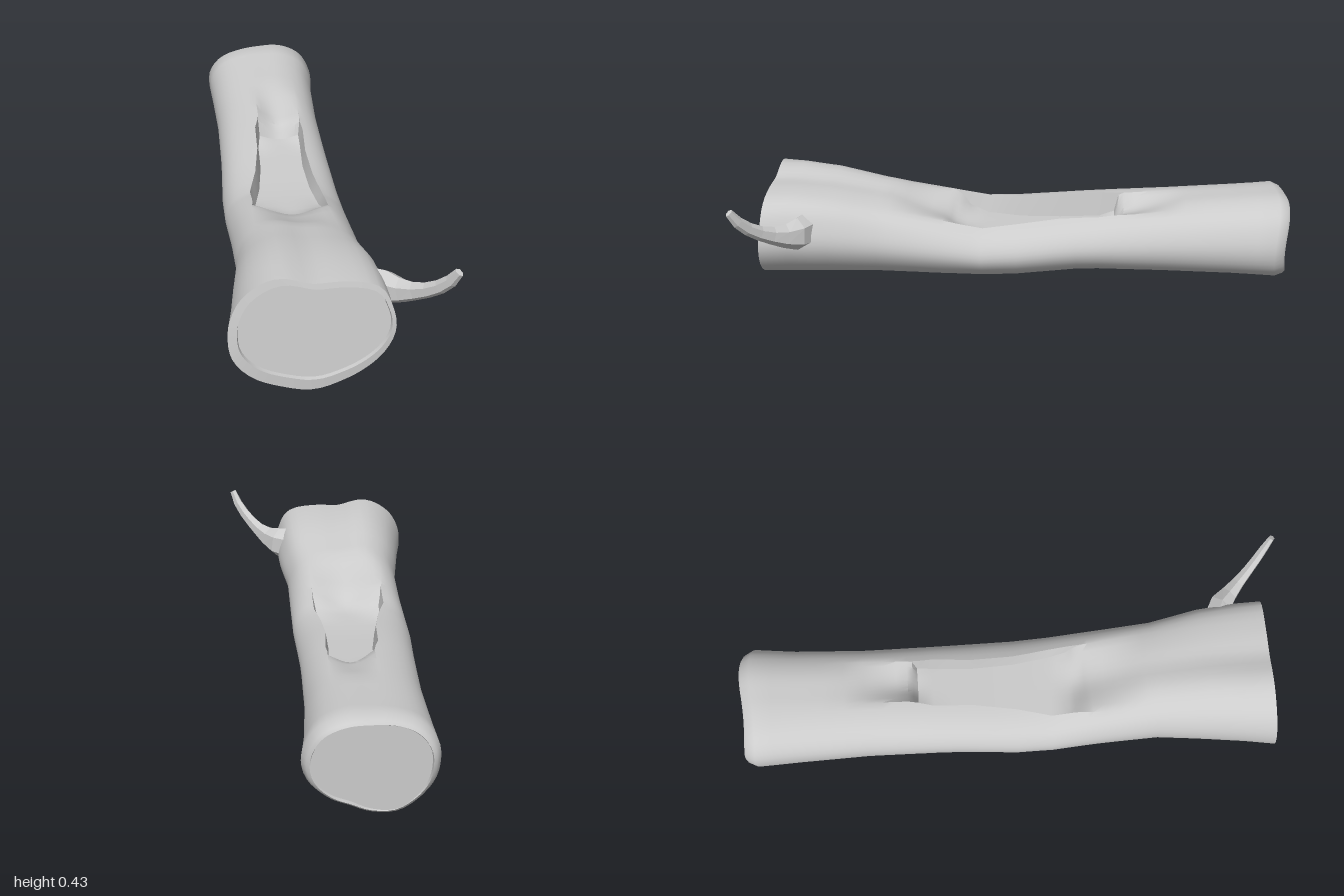
import * as THREE from 'three';
import { toCreasedNormals } from 'three/addons/utils/BufferGeometryUtils.js';

// Piecewise-linear lookup in rows [z, v1, v2, ...] sorted by falling z
function lookup(rows, z) {
  if (z >= rows[0][0]) return rows[0].slice(1);
  for (let i = 1; i < rows.length; i++) {
    const a = rows[i - 1], b = rows[i];
    if (z >= b[0]) {
      const t = (a[0] - z) / (a[0] - b[0]);
      return a.slice(1).map((v, k) => v + (b[k + 1] - v) * t);
    }
  }
  return rows[rows.length - 1].slice(1);
}

// Surface through closed rings of points
function loft(rings, crease) {
  const n = rings[0].length, index = [];
  for (let i = 0; i < rings.length - 1; i++) {
    for (let j = 0; j < n; j++) {
      const k = (j + 1) % n;
      const a = i * n + j, b = i * n + k, c = a + n, d = b + n;
      index.push(a, c, d, a, d, b);
    }
  }
  const g = new THREE.BufferGeometry();
  g.setFromPoints(rings.flat());
  g.setIndex(index);
  return toCreasedNormals(g, crease);
}

// Trunk extents along its length: z, left x, right x, bottom y, top y
const EXTENT = [
  [0.95, -0.367, 0.167, 0.0, 0.4], [0.84, -0.35, 0.165, 0.008, 0.4], [0.7, -0.333, 0.155, 0.014, 0.388],
  [0.52, -0.31, 0.125, 0.016, 0.352], [0.3, -0.315, 0.118, 0.016, 0.312], [0.13, -0.325, 0.112, 0.018, 0.28],
  [0, -0.327, 0.104, 0.022, 0.286], [-0.25, -0.316, 0.092, 0.048, 0.316], [-0.55, -0.312, 0.088, 0.04, 0.345],
  [-0.8, -0.32, 0.096, 0.033, 0.37], [-0.95, -0.327, 0.11, 0.028, 0.387],
];
// Hollow outline: z, left x, right x, how far it is sunk to the floor
const HOLLOW = [
  [0.48, -0.23, 0.04, 0], [0.28, -0.225, 0.035, 0.5], [0.24, -0.22, 0.035, 0.8], [0.2, -0.22, 0.035, 0.95],
  [0.13, -0.222, 0.033, 1], [0, -0.197, 0.012, 1], [-0.15, -0.18, 0, 1], [-0.3, -0.177, 0.005, 1],
  [-0.355, -0.165, 0, 0.97], [-0.39, -0.16, 0, 0.5], [-0.62, -0.16, 0, 0],
];
// Lobed radii every 22.5 degrees at three stations
const FRONT = [1, 1.04, 1.11, 0.97, 0.89, 1.09, 1.09, 1.03, 1, 1.02, 1.01, 0.975, 0.99, 0.93, 0.92, 0.95];
const MIDDLE = [1, 1.0, 0.99, 0.97, 0.97, 1.08, 1.1, 1.04, 1, 0.99, 0.98, 0.98, 0.98, 0.94, 0.94, 0.96];
const BACK = [1, 1.02, 1.06, 1.03, 0.97, 1.0, 1.06, 1.05, 1, 1, 1.03, 1.07, 0.96, 0.85, 0.9, 0.97];

function lobe(table, a) {
  const f = ((a / (Math.PI * 2)) * 16 + 32) % 16, i = Math.floor(f), t = f - i;
  const [p, q, r, s] = [-1, 0, 1, 2].map((k) => table[(i + k + 16) % 16]);
  return q + 0.5 * t * (r - p + t * (2 * p - 5 * q + 4 * r - s + t * (3 * (q - r) + s - p)));
}

// One cross-section; scale shrinks it for the end faces, shift gives the end its uneven cut
function section(z, scale = 1, shift = () => 0) {
  const [xl, xr, yb, yt] = lookup(EXTENT, z);
  const [hl, hr, sunk] = lookup(HOLLOW, z);
  const cx = (xl + xr) / 2, rx = (xr - xl) / 2, cy = (yb + yt) / 2, ry = (yt - yb) / 2;
  const end = z > 0.1 ? FRONT : BACK;
  const mix = Math.min(1, z > 0.1 ? (z - 0.1) / 0.8 : (0.1 - z) / 1);
  const point = (a) => {
    const r = scale * THREE.MathUtils.lerp(lobe(MIDDLE, a), lobe(end, a), mix);
    return new THREE.Vector3(cx + rx * r * Math.cos(a), cy + ry * r * Math.sin(a), z + shift(a, r));
  };
  const aL = Math.acos((hl - cx) / rx), aR = Math.acos((hr - cx) / rx) + Math.PI * 2;
  const ring = [];
  for (let i = 0; i <= 44; i++) ring.push(point(aL + ((aR - aL) * i) / 44));
  // Floor of the hollow: flat with steep walls in the middle, a rounded trough where it runs out
  const floorY = 0.205 - 0.07 * Math.min(z, 0), mid = (hl + hr) / 2;
  for (let i = 0; i <= 10; i++) {
    const p = point(aR + ((aL + Math.PI * 2 - aR) * i) / 10);
    const drop = sunk * THREE.MathUtils.lerp(Math.sin((Math.PI * i) / 10), 1, sunk ** 8);
    p.x = THREE.MathUtils.lerp(p.x, mid + (p.x - mid) * 0.88, drop);
    p.y = THREE.MathUtils.lerp(p.y, Math.min(p.y, floorY), drop);
    ring.push(p);
  }
  return ring;
}

function add(parent, name, geometry, flat = false) {
  const mesh = new THREE.Mesh(geometry, new THREE.MeshStandardMaterial({ color: 0xcccccc, flatShading: flat }));
  mesh.name = name;
  parent.add(mesh);
  return mesh;
}

export function createModel() {
  const log = new THREE.Group();
  log.name = 'hollowLog';

  // Slanted cut in front, wavy cut at the back
  const frontCut = (d) => (a, r) => d - 0.02 * r * Math.sin(a);
  const backCut = (d) => (a) => d + 0.008 * Math.cos(3 * a);
  const frontInner = (scale, d) => section(0.95, scale, frontCut(d))
    .map((p) => p.set(p.x + 0.008, 0.208 + (p.y - 0.2) * 0.92, p.z));

  // Bark with the carved hollow and the rolled rims
  const stations = [0.84, 0.77, 0.7, 0.61, 0.52, 0.48, 0.43, 0.38, 0.33, 0.28, 0.26, 0.24, 0.22, 0.2, 0.165, 0.13,
    0.065, 0, -0.08, -0.15, -0.22, -0.3, -0.33, -0.355, -0.37, -0.39, -0.43, -0.48, -0.55, -0.62, -0.7, -0.8, -0.88];
  const bark = [
    frontInner(0.91, -0.014),
    frontInner(0.92, 0),
    section(0.95, 1, frontCut(-0.003)),
    ...stations.map((z) => section(z)),
    section(-0.95, 1, backCut(0)),
    section(-0.95, 0.93, backCut(-0.03)),
    section(-0.95, 0.88, backCut(-0.038)),
    section(-0.95, 0.87, () => -0.03),
  ];
  add(log, 'bark', loft(bark, 0.65));

  // Sawn faces, set just inside the rims
  add(log, 'frontCutFace', loft([frontInner(0, -0.014), bark[0]], 0.5));
  add(log, 'backCutFace', loft([bark[bark.length - 1], section(-0.95, 0, () => -0.03)], 0.5));

  // Tapering twig flaring out of the left side, curving up and forward
  const path = new THREE.CatmullRomCurve3([
    [0.06, 0.255, 0.765], [0.15, 0.262, 0.79], [0.212, 0.276, 0.845], [0.285, 0.325, 0.92], [0.33, 0.38, 0.965],
    [0.35, 0.425, 0.988],
  ].map((p) => new THREE.Vector3(...p)));
  const radii = [0.07, 0.07, 0.062, 0.045, 0.033, 0.027, 0.024, 0.021, 0.015];
  const steps = radii.length - 1, sides = 6;
  const frames = path.computeFrenetFrames(steps);
  const twig = radii.map((r, i) => Array.from({ length: sides }, (_, j) => {
    const a = (-j / sides) * Math.PI * 2;
    return path.getPointAt(i / steps)
      .addScaledVector(frames.normals[i], r * Math.cos(a))
      .addScaledVector(frames.binormals[i], r * 0.75 * Math.sin(a));
  }));
  twig.push(twig[steps].map(() => path.getPointAt(1)));
  const twigMesh = add(log, 'twig', loft(twig, 0.3), true);
  twigMesh.material.side = THREE.DoubleSide;

  return log;
}
